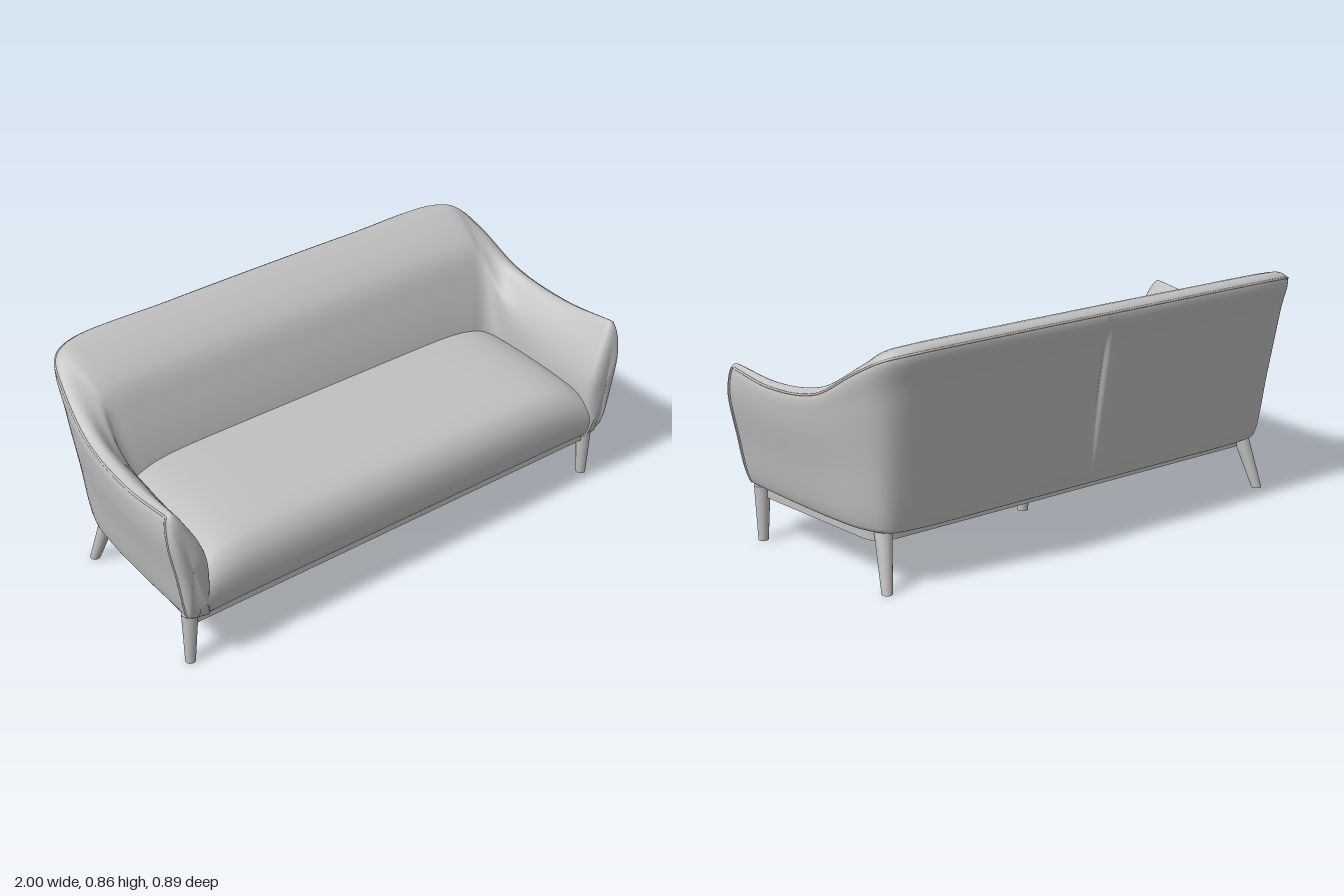
import * as THREE from 'three';

const fabric = new THREE.MeshStandardMaterial({ color: 0xc0c0c0 });
fabric.name = 'light grey';

// Smooth surface through a grid of points (rows of equal length)
function gridMesh(rows, name) {
  const n = rows[0].length, index = [];
  for (let i = 0; i < rows.length - 1; i++) {
    for (let j = 0; j < n - 1; j++) {
      const a = i * n + j, b = a + n;
      index.push(a, b, a + 1, b, b + 1, a + 1);
    }
  }
  const geo = new THREE.BufferGeometry().setFromPoints(rows.flat());
  geo.setIndex(index);
  geo.computeVertexNormals();
  const mesh = new THREE.Mesh(geo, fabric);
  mesh.name = name;
  return mesh;
}

const curve = (pts) => new THREE.CatmullRomCurve3(pts);
const vecs = (list) => list.map((p) => new THREE.Vector3(...p));

// Rails of the shell, from the front of the left arm to the middle of the back
const outerBottom = vecs([[.93, .22, .4], [.922, .22, .15], [.907, .22, -.08], [.885, .22, -.22],
  [.84, .22, -.305], [.75, .22, -.328], [.4, .22, -.333], [.02, .22, -.333], [0, .22, -.333]]);
const crownOuter = vecs([[.985, .64, .393], [.98, .622, .15], [.965, .658, -.1], [.937, .762, -.285],
  [.9, .817, -.385], [.82, .836, -.43], [.4, .841, -.439], [.02, .842, -.441], [0, .842, -.441]]);
const crownTop = vecs([[.968, .653, .39], [.95, .636, .15], [.93, .678, -.1], [.897, .785, -.28],
  [.865, .842, -.365], [.79, .856, -.392], [.4, .859, -.395], [.02, .86, -.395], [0, .86, -.395]]);
const innerUpper = vecs([[.917, .58, .4], [.9, .59, .15], [.885, .625, -.08], [.858, .715, -.18],
  [.835, .752, -.212], [.77, .765, -.22], [.4, .768, -.222], [.02, .768, -.222], [0, .768, -.222]]);
const innerMid = vecs([[.876, .5, .407], [.858, .51, .15], [.85, .55, -.03], [.845, .6, -.115],
  [.825, .635, -.147], [.76, .64, -.152], [.4, .645, -.155], [.02, .645, -.155], [0, .645, -.155]]);
const innerBottom = vecs([[.853, .42, .407], [.842, .42, .15], [.838, .42, 0], [.832, .42, -.055],
  [.8, .42, -.083], [.72, .42, -.09], [.4, .42, -.092], [.02, .42, -.092], [0, .42, -.092]]);

// Side wall between the bottom and the crown: bulged on the arms, creased at the centre back
function wallRail(t, bulge) {
  return outerBottom.map((p, i) => {
    const q = p.clone().lerp(crownOuter[i], t);
    if (i < 4) q.x += bulge * (1 - i * 0.2);
    if (i === 0) q.z += 0.012;
    if (i === 8) q.z += 0.01;
    return q;
  });
}

function shell() {
  const floor = innerBottom.map((p) => new THREE.Vector3(p.x, 0.2, p.z));
  const hem = outerBottom.map((p) => new THREE.Vector3(p.x * 0.985, 0.203, p.z * 0.98));
  const rails = [floor, hem, outerBottom, wallRail(0.4, 0.012), wallRail(0.8, 0.02),
    crownOuter, crownTop, innerUpper, innerMid, innerBottom, floor].map((half) => {
    const mirrored = half.slice(0, -1).reverse().map((p) => new THREE.Vector3(-p.x, p.y, p.z));
    return curve([...half, ...mirrored]);
  });
  const rows = [], steps = 16 * 8, crownAt = 30;
  for (let i = 0; i <= steps; i++) {
    rows.push(curve(rails.map((r) => r.getPoint(i / steps))).getPoints(60));
  }
  // Full, rounded arm fronts
  const dome = (row) => {
    const mid = row.reduce((s, p) => s.add(p), new THREE.Vector3()).divideScalar(row.length);
    return [0, 0.4, 0.65, 0.82, 0.92, 0.975, 0.995].map((k) => row.map((p) => {
      const q = mid.clone().lerp(p, k);
      q.z += 0.043 * Math.pow(1 - k ** 3, 0.4);
      return q;
    }));
  };
  const first = rows[0], last = rows[steps];
  const body = gridMesh([...dome(first), ...rows, ...dome(last).reverse()], 'backAndArms');

  // Piping up the arm fronts and along the crown
  const path = [...first.slice(10, crownAt), ...rows.map((r) => r[crownAt]),
    ...last.slice(10, crownAt).reverse()];
  const piping = new THREE.Mesh(new THREE.TubeGeometry(curve(path), 300, 0.004, 8), fabric);
  piping.name = 'piping';
  return [body, piping];
}

// Seat cushion: one profile carried across, falling away at the arms
function seat() {
  const profile = curve(vecs([[0, .2, .25], [0, .2, .385], [0, .215, .418], [0, .3, .435], [0, .38, .422],
    [0, .435, .375], [0, .463, .25], [0, .478, .05], [0, .48, -.13]])).getPoints(48);
  const rows = [];
  for (let i = 0; i <= 60; i++) {
    const x = 0.9 * Math.sin((i / 60 - 0.5) * Math.PI);
    const h = 1 - 0.65 * Math.pow(Math.abs(x) / 0.935, 10);
    rows.push(profile.map((p) => new THREE.Vector3(x, 0.2 + (p.y - 0.2) * h, p.z)));
  }
  return gridMesh(rows, 'seat');
}

// Plan outline of the base, narrowing to rounded rear corners
function basePlan(PathType, inset) {
  const x = 0.9 - inset, xb = 0.855 - inset, f = -0.385 + inset, b = 0.262 - inset;
  const p = new PathType();
  p.moveTo(-x, f);
  p.lineTo(x, f);
  p.lineTo(xb, b - 0.08);
  p.quadraticCurveTo(xb - 0.005, b, xb - 0.09, b);
  p.lineTo(-xb + 0.09, b);
  p.quadraticCurveTo(-xb + 0.005, b, -xb, b - 0.08);
  p.closePath();
  return p;
}

function baseSlab(name, shape, y, depth) {
  const geo = new THREE.ExtrudeGeometry(shape, { depth, bevelEnabled: false, curveSegments: 8 });
  geo.rotateX(-Math.PI / 2);
  const mesh = new THREE.Mesh(geo, fabric);
  mesh.position.y = y;
  mesh.name = name;
  return mesh;
}

// Tapered leg, leaning from top to foot with a level foot
function leg(name, top, foot, rTop, rFoot) {
  const h = top[1];
  const geo = new THREE.CylinderGeometry(rTop, rFoot, h, 24);
  geo.translate(0, h / 2, 0);
  const pos = geo.attributes.position;
  for (let i = 0; i < pos.count; i++) {
    const t = pos.getY(i) / h;
    pos.setX(i, pos.getX(i) + THREE.MathUtils.lerp(foot[0], top[0], t));
    pos.setZ(i, pos.getZ(i) + THREE.MathUtils.lerp(foot[2], top[2], t));
  }
  geo.computeVertexNormals();
  const mesh = new THREE.Mesh(geo, fabric);
  mesh.name = name;
  return mesh;
}

export function createModel() {
  const group = new THREE.Group();
  group.name = 'sofa';
  group.add(...shell(), seat());

  // Base frame around a recessed underside
  const ring = basePlan(THREE.Shape, 0);
  ring.holes.push(basePlan(THREE.Path, 0.03));
  group.add(baseSlab('baseFrame', ring, 0.16, 0.045));
  group.add(baseSlab('underside', basePlan(THREE.Shape, 0.015), 0.187, 0.015));

  for (const s of [1, -1]) {
    group.add(leg('frontLeg', [s * 0.9, 0.203, 0.372], [s * 0.905, 0, 0.37], 0.029, 0.018));
    group.add(leg('rearLeg', [s * 0.815, 0.203, -0.25], [s * 0.848, 0, -0.315], 0.031, 0.019));
  }
  group.add(leg('middleLeg', [0, 0.19, 0.042], [0, 0, 0.042], 0.028, 0.02));
  return group;
}
